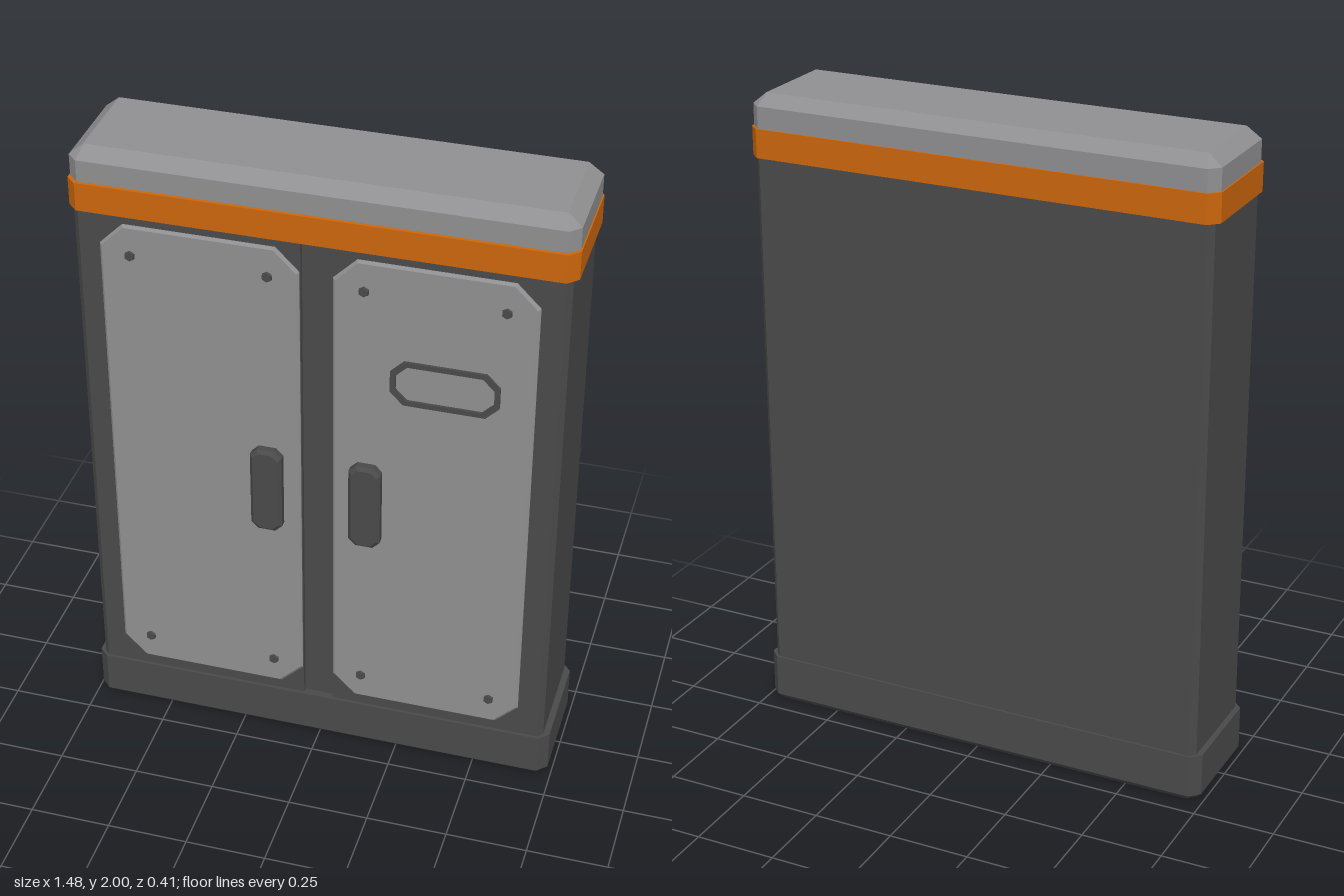
import * as THREE from 'three';

const mat = (name, color) => {
  const m = new THREE.MeshStandardMaterial({ color });
  m.name = name;
  m.flatShading = true;
  return m;
};

// Eight-sided outline: rectangle with cut corners, counter-clockwise
const octagon = (x0, x1, y0, y1, c) => [
  [x0 + c, y0], [x1 - c, y0], [x1, y0 + c], [x1, y1 - c],
  [x1 - c, y1], [x0 + c, y1], [x0, y1 - c], [x0, y0 + c],
];

// Solid through octagon rings [z, x0, x1, y0, y1, cut], from back to front
function loft(rings) {
  const pos = [];
  const loops = rings.map(([z, ...r]) => octagon(...r).map(([x, y]) => [x, y, z]));
  const tri = (a, b, c) => pos.push(...a, ...b, ...c);
  for (let k = 0; k < loops.length - 1; k++) {
    const a = loops[k], b = loops[k + 1];
    for (let i = 0; i < 8; i++) {
      const j = (i + 1) % 8;
      tri(a[i], a[j], b[j]);
      tri(a[i], b[j], b[i]);
    }
  }
  const first = loops[0], last = loops[loops.length - 1];
  for (let i = 1; i < 7; i++) {
    tri(first[0], first[i + 1], first[i]);
    tri(last[0], last[i], last[i + 1]);
  }
  const g = new THREE.BufferGeometry();
  g.setAttribute('position', new THREE.Float32BufferAttribute(pos, 3));
  g.computeVertexNormals();
  return g;
}

// Upright solid from rings [y, x0, x1, zBack, zFront, cut]
const upright = (rings) =>
  loft(rings.map(([y, x0, x1, zb, zf, c]) => [y, x0, x1, -zf, -zb, c])).rotateX(-Math.PI / 2);

// Front-facing plate with a small bevelled front edge
const plate = (x0, x1, y0, y1, cut, z0, z1, bevel) => loft([
  [z0, x0, x1, y0, y1, cut],
  [z1 - bevel, x0, x1, y0, y1, cut],
  [z1, x0 + bevel, x1 - bevel, y0 + bevel, y1 - bevel, cut - bevel * 0.4],
]);

export function createModel() {
  const group = new THREE.Group();
  const dark = mat('darkGrey', 0x4a4a4a);
  const light = mat('lightGrey', 0x909092);
  const orange = mat('orange', 0xcc660c);
  const add = (name, geometry, material) => {
    const m = new THREE.Mesh(geometry, material);
    m.name = name;
    group.add(m);
    return m;
  };

  // Body with a shallow recess between the doors
  const zf = 0.162, zb = -0.193, c = 0.016, x0 = -0.724, x1 = 0.718;
  const plan = [
    [x0 + c, -zf], [-0.05, -zf], [-0.05, -zf + 0.015], [0.043, -zf + 0.015], [0.043, -zf],
    [x1 - c, -zf], [x1, -zf + c], [x1, -zb - c], [x1 - c, -zb],
    [x0 + c, -zb], [x0, -zb - c], [x0, -zf + c],
  ].map(([x, y]) => new THREE.Vector2(x, y));
  const body = new THREE.ExtrudeGeometry(new THREE.Shape(plan), { depth: 1.68, bevelEnabled: false });
  add('body', body.rotateX(-Math.PI / 2).translate(0, 0.15, 0), dark);

  // Plinth, band and lid
  add('base', upright([
    [0, -0.723, 0.718, -0.182, 0.153, 0.024],
    [0.02, -0.741, 0.738, -0.2, 0.172, 0.03],
    [0.155, -0.741, 0.738, -0.2, 0.172, 0.03],
  ]), dark);
  add('band', upright([
    [1.81, -0.738, 0.734, -0.202, 0.176, 0.03],
    [1.898, -0.738, 0.734, -0.202, 0.176, 0.03],
  ]), orange);
  add('lid', upright([
    [1.89, -0.734, 0.73, -0.197, 0.165, 0.03],
    [1.965, -0.734, 0.73, -0.197, 0.165, 0.03],
    [2, -0.692, 0.688, -0.162, 0.126, 0.002],
  ]), light);

  // Door plates with hexagonal bolts
  for (const [side, left] of [['right', -0.645], ['left', 0.045]]) {
    add(side + 'DoorPlate', plate(left, left + 0.592, 0.19, 1.78, 0.07, 0.155, 0.172, 0.007), light);
    for (const x of [left + 0.092, left + 0.5]) {
      for (const y of [0.28, 1.685]) {
        const bolt = add(side + 'DoorBolt', new THREE.CylinderGeometry(0.015, 0.017, 0.014, 6), dark);
        bolt.rotation.x = Math.PI / 2;
        bolt.position.set(x, y, 0.173);
      }
    }
  }

  // Handles
  add('rightHandle', plate(-0.202, -0.105, 0.805, 1.096, 0.022, 0.16, 0.203, 0.01), dark);
  add('leftHandle', plate(0.1, 0.197, 0.805, 1.096, 0.022, 0.16, 0.203, 0.01), dark);

  // Label frame: cut-corner ring
  const points = (...o) => octagon(...o).map(([x, y]) => new THREE.Vector2(x, y));
  const frame = new THREE.Shape(points(0.217, 0.537, 1.328, 1.475, 0.04));
  frame.holes.push(new THREE.Path(points(0.233, 0.521, 1.344, 1.459, 0.034)));
  add('labelFrame', new THREE.ExtrudeGeometry(frame, { depth: 0.014, bevelEnabled: false })
    .translate(0, 0, 0.166), dark);

  return group;
}
